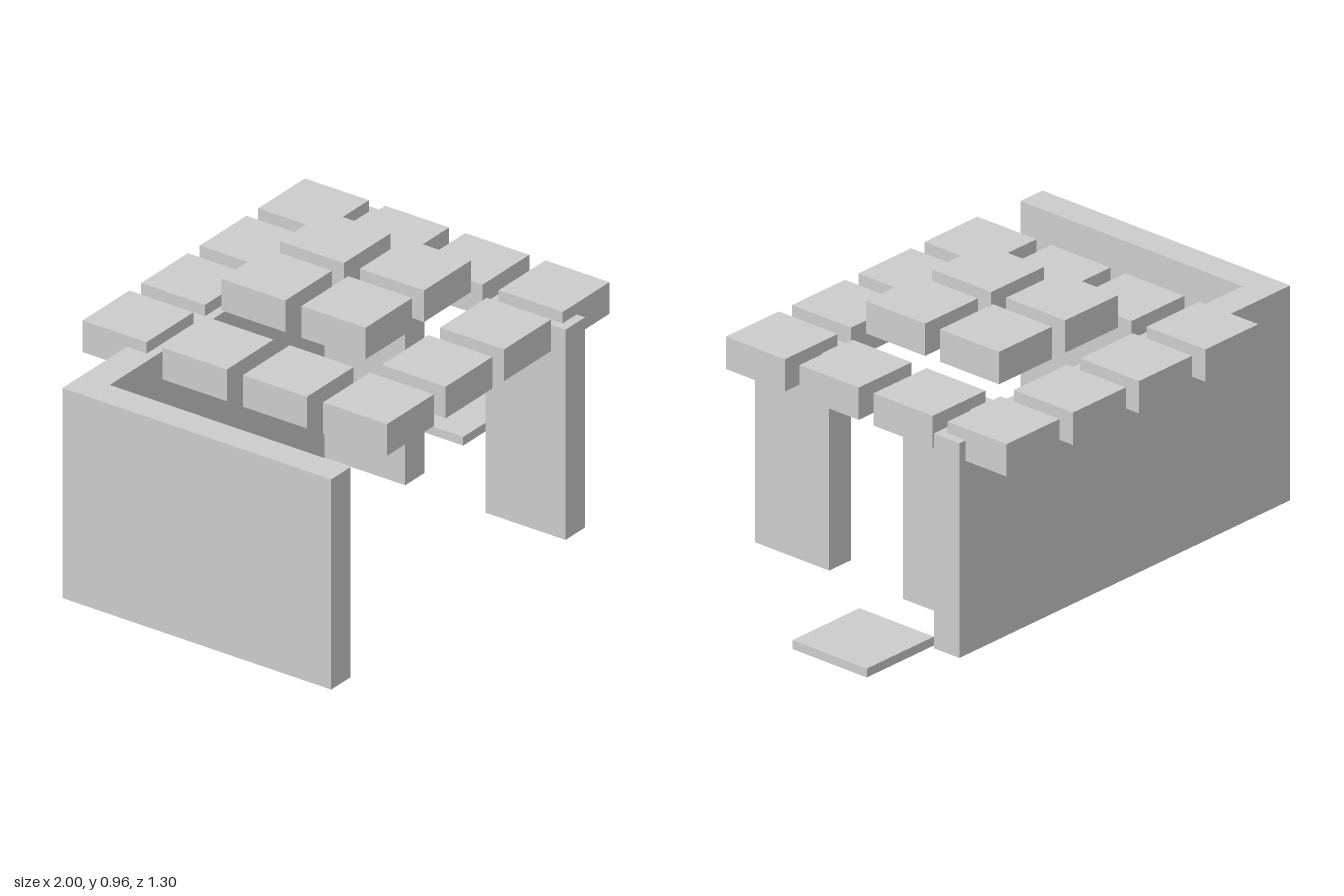
import * as THREE from 'three';

export function createModel() {
  const model = new THREE.Group();
  const stone = new THREE.MeshStandardMaterial({ color: 0xcccccc });
  stone.name = 'pale grey';

  const add = (name, geometry) => {
    const mesh = new THREE.Mesh(geometry, stone);
    mesh.name = name;
    model.add(mesh);
    return mesh;
  };

  // Box given by its lower and upper limits on each axis
  const box = (name, [x0, x1], [y0, y1], [z0, z1]) =>
    add(name, new THREE.BoxGeometry(x1 - x0, y1 - y0, z1 - z0))
      .position.set((x0 + x1) / 2, (y0 + y1) / 2, (z0 + z1) / 2);

  // L-shaped back and side wall: plan drawn as (x, -z), then stood upright
  const plan = new THREE.Shape([
    [-1, -0.648], [-0.889, -0.648], [-0.889, 0.353],
    [0.663, 0.353], [0.663, 0.468], [-1, 0.468],
  ].map(([x, y]) => new THREE.Vector2(x, y)));
  const wall = new THREE.ExtrudeGeometry(plan, { depth: 0.797, bevelEnabled: false });
  wall.rotateX(-Math.PI / 2);
  add('cornerWall', wall);

  // Short walls either side of the doorway
  box('doorWallBack', [0.333, 0.444], [0, 0.797], [-0.353, -0.018]);
  box('doorWallFront', [0.333, 0.444], [0, 0.797], [0.315, 0.648]);

  // Doorstep slab
  box('doorstep', [0.663, 1], [0.01, 0.043], [-0.353, -0.018]);

  // Roof: four by four blocks, the middle four one layer higher
  const half = 0.133;
  for (let row = 0; row < 4; row++) {
    for (let col = 0; col < 4; col++) {
      const inner = row % 3 !== 0 && col % 3 !== 0;
      const x = -0.501 + col * 0.333;
      const z = -0.519 + row * 0.333;
      const y = inner ? 0.84 : 0.72;
      box(inner ? 'upperRoofBlock' : 'lowerRoofBlock',
        [x - half, x + half], [y, y + 0.12], [z - half, z + half]);
    }
  }
  return model;
}
